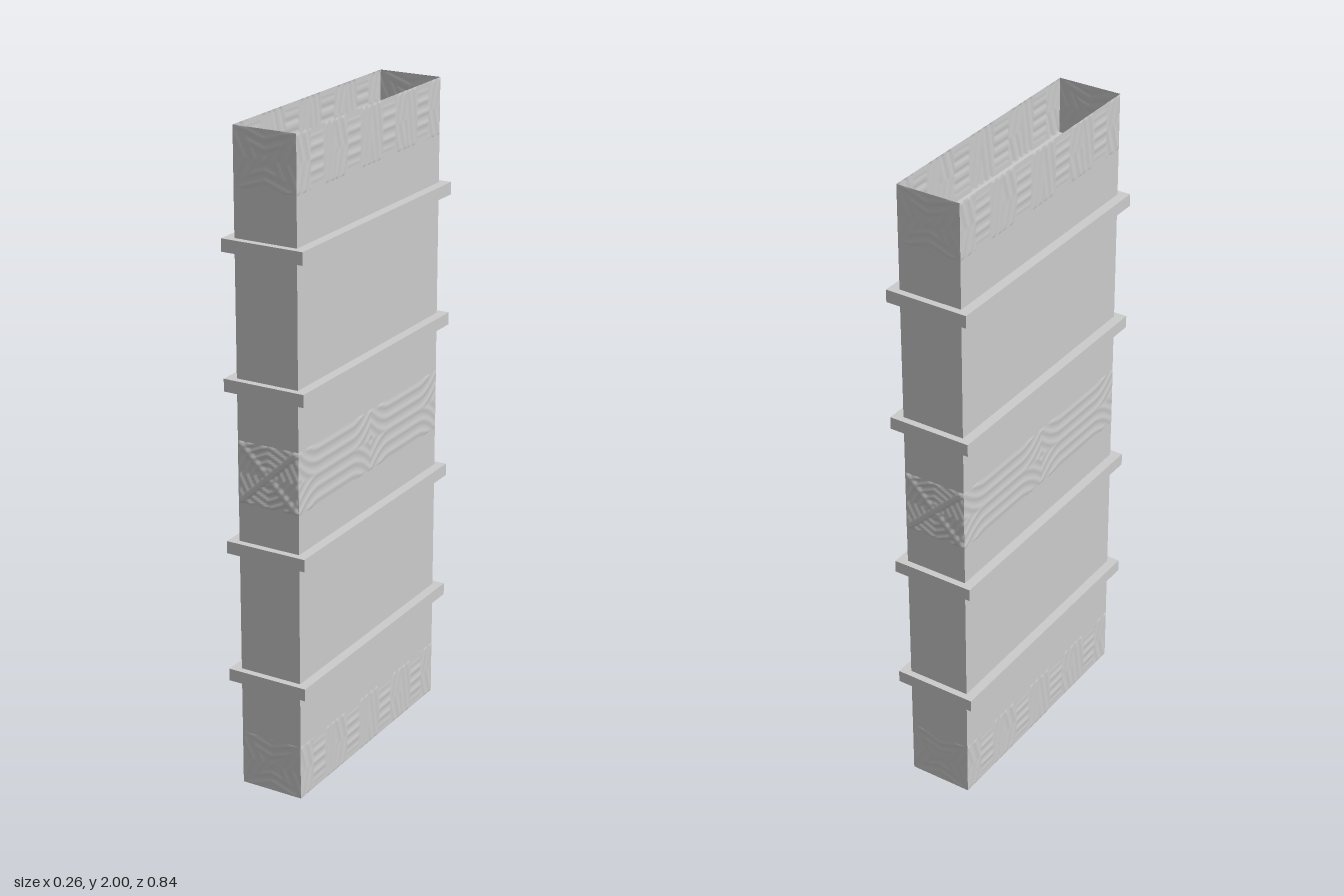
import * as THREE from 'three';

const W = 0.2, D = 0.8, BAND = 0.17;
const material = new THREE.MeshStandardMaterial({ color: 0xcccccc, side: THREE.DoubleSide });

// Rounded ridge profile: 1 on the ridge line, 0 between ridges
const ridge = (t) => Math.pow(0.5 + 0.5 * Math.cos(t * Math.PI * 2), 2);

// Carving rules; u and v run from -1 to 1 across the panel
const carvings = {
  // waves fanning out from a diagonal cross
  fan: (u, v) => {
    const a = Math.abs(u), b = Math.abs(v);
    return ridge(3 * Math.max(a, b) - 1.2 * Math.min(a, b)) * 0.7;
  },
  // diagonal cross with nested triangles in the four quarters
  cross: (u, v) => {
    const a = Math.abs(u), b = Math.abs(v);
    const bar = Math.abs(a - b) < 0.12 ? 1 : 0;
    return Math.max(bar, 0.8 * ridge(4 * Math.max(a, b) + 2 * Math.min(a, b)));
  },
  // repeating tiles of upright bars, short crossbars and slanted strokes
  fret: (u, v) => {
    const s = Math.abs(u) * 2, t = s % 1;
    if (t < 0.3) return ridge(t * 7 + v * 0.5);
    if (t < 0.65) return Math.abs(v) < 0.75 ? ridge(v * 2.5) : 0;
    return ridge(t * 6 - Math.abs(v) * 0.8);
  },
  // long horizontal strands that curl away at the ends of each half
  strands: (u, v) => {
    const t = Math.abs(Math.abs(u) * 2 - 1);
    const bend = Math.max(0, t - 0.45) * 1.8;
    return ridge(Math.abs(v) * 2.5 - bend * bend * 1.5);
  },
};

// Flat panel facing +z whose surface is raised by a carving rule
function carvedPanel(name, width, height, depth, rule, segX, segY) {
  const geo = new THREE.PlaneGeometry(width, height, segX, segY);
  const p = geo.attributes.position;
  for (let i = 0; i < p.count; i++) {
    const u = p.getX(i) / (width / 2), v = p.getY(i) / (height / 2);
    const border = Math.abs(u) > 0.995 || Math.abs(v) > 0.97;
    p.setZ(i, border ? 0 : depth * rule(u, v));
  }
  geo.computeVertexNormals();
  const mesh = new THREE.Mesh(geo, material);
  mesh.name = name;
  return mesh;
}

// Four carved panels wrapped around the column at one height
function carvedBand(name, y, height, endRule, sideRule, endDepth, out) {
  const band = new THREE.Group();
  band.name = name;
  band.position.y = y;
  for (const s of [1, -1]) {
    const end = carvedPanel(s > 0 ? 'frontPanel' : 'backPanel', W, height, endDepth, endRule, 40, 40);
    end.position.z = s * (D / 2 + out);
    end.rotation.y = s > 0 ? 0 : Math.PI;
    const side = carvedPanel(s > 0 ? 'leftPanel' : 'rightPanel', D, height, 0.002, sideRule, 160, 36);
    side.position.x = s * (W / 2 + out);
    side.rotation.y = s * Math.PI / 2;
    band.add(end, side);
  }
  return band;
}

function box(name, w, h, d, y) {
  const mesh = new THREE.Mesh(new THREE.BoxGeometry(w, h, d), material);
  mesh.name = name;
  mesh.position.y = y;
  return mesh;
}

export function createModel() {
  const model = new THREE.Group();
  model.name = 'carvedColumn';

  // Plain shaft between the two open end bands
  model.add(box('shaft', W, 2 - 2 * BAND, D, 1));

  // Projecting collars
  for (const y of [0.358, 0.766, 1.26, 1.666]) model.add(box('collar', 0.26, 0.038, 0.842, y));

  // Open carved bands at the foot and the head, and the carved middle
  model.add(carvedBand('footBand', BAND / 2, BAND, carvings.fan, carvings.fret, 0.002, 0));
  model.add(carvedBand('headBand', 2 - BAND / 2, BAND, carvings.fan, carvings.fret, 0.002, 0));
  model.add(carvedBand('middleBand', 1, 0.19, carvings.cross, carvings.strands, 0.005, 0.0005));

  return model;
}
